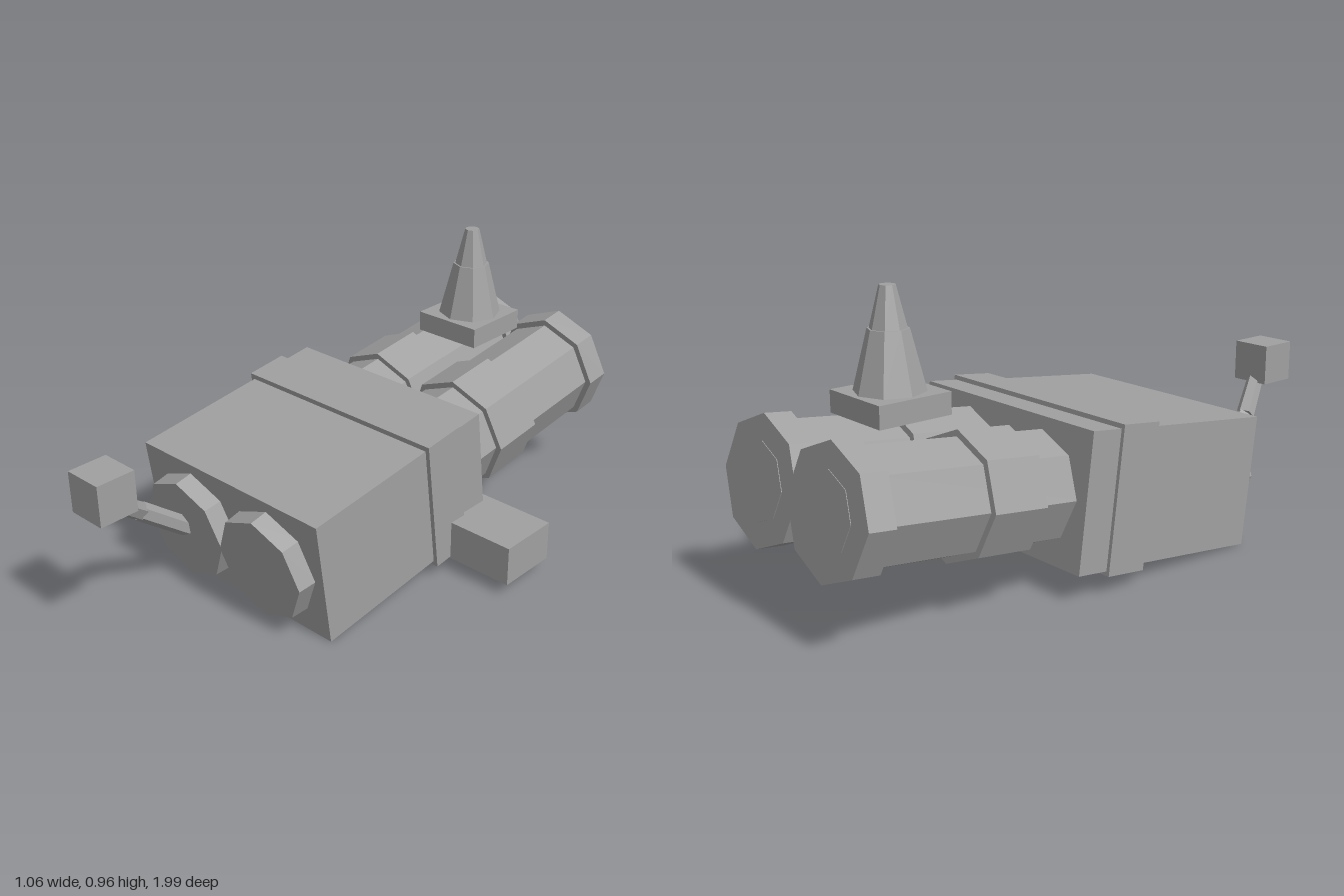
import * as THREE from 'three';

export function createModel() {
  const model = new THREE.Group();
  model.name = 'twinTubeDevice';
  const grey = new THREE.MeshStandardMaterial({ color: 0xa0a0a0, flatShading: true });
  grey.name = 'plain grey';

  const add = (parent, name, geometry, x = 0, y = 0, z = 0) => {
    const mesh = new THREE.Mesh(geometry, grey);
    mesh.name = name;
    mesh.position.set(x, y, z);
    parent.add(mesh);
    return mesh;
  };
  // Box given by its min and max along each axis
  const box = (parent, name, [x0, x1], [y0, y1], [z0, z1]) =>
    add(parent, name, new THREE.BoxGeometry(x1 - x0, y1 - y0, z1 - z0),
      (x0 + x1) / 2, (y0 + y1) / 2, (z0 + z1) / 2);
  // Octagonal drum along z, from z0 (back) to z1 (front)
  const drum = (parent, name, x, z0, z1, rBack, rFront = rBack) =>
    add(parent, name,
      new THREE.CylinderGeometry(rFront, rBack, z1 - z0, 8).rotateX(Math.PI / 2),
      x, 0, (z0 + z1) / 2);

  // Tilted body: origin at the centre of the front face, back end raised
  const body = new THREE.Group();
  body.name = 'body';
  body.position.set(-0.12, 0.222, 0.535);
  body.rotation.x = 0.122;
  model.add(body);
  box(body, 'housing', [-0.395, 0.395], [-0.219, 0.219], [-0.5, 0]);
  box(body, 'wideBand', [-0.41, 0.41], [-0.236, 0.237], [-0.643, -0.493]);
  box(body, 'rearMount', [-0.398, 0.398], [-0.222, 0.222], [-0.758, -0.64]);

  // Two identical tubes with collars, front discs and rear lenses
  for (const x of [-0.175, 0.175]) {
    drum(body, 'frontDisc', x, -0.01, 0.063, 0.185, 0.179);
    drum(body, 'tube', x, -1.45, -0.74, 0.181);
    drum(body, 'middleCollar', x, -1.088, -0.892, 0.202);
    drum(body, 'endCollar', x, -1.516, -1.426, 0.203);
    drum(body, 'rearLens', x, -1.518, -1.51, 0.122);
  }

  // Side block
  box(model, 'sideBlock', [0.05, 0.528], [0.05, 0.188], [-0.268, -0.05]);

  // Upright cone on a square base
  box(model, 'coneBase', [-0.246, 0.005], [0.585, 0.655], [-0.755, -0.502]);
  add(model, 'coneLower', new THREE.CylinderGeometry(0.063, 0.11, 0.185, 8), -0.12, 0.7475, -0.629);
  add(model, 'coneUpper', new THREE.CylinderGeometry(0.025, 0.057, 0.127, 8), -0.12, 0.9025, -0.629);

  // Bent lever with a block handle
  const path = [[-0.295, 0.222, 0.59], [-0.295, 0.36, 0.768], [-0.228, 0.475, 0.905]]
    .map(p => new THREE.Vector3(...p));
  for (let i = 0; i < 2; i++) {
    const dir = path[i + 1].clone().sub(path[i]);
    const rod = add(model, 'leverRod', new THREE.CylinderGeometry(i ? 0.028 : 0.032, 0.032, dir.length(), 6));
    rod.position.copy(path[i]).addScaledVector(dir, 0.5);
    rod.quaternion.setFromUnitVectors(new THREE.Vector3(0, 1, 0), dir.normalize());
  }
  box(model, 'leverHandle', [-0.3, -0.163], [0.457, 0.595], [0.865, 1]);

  return model;
}
